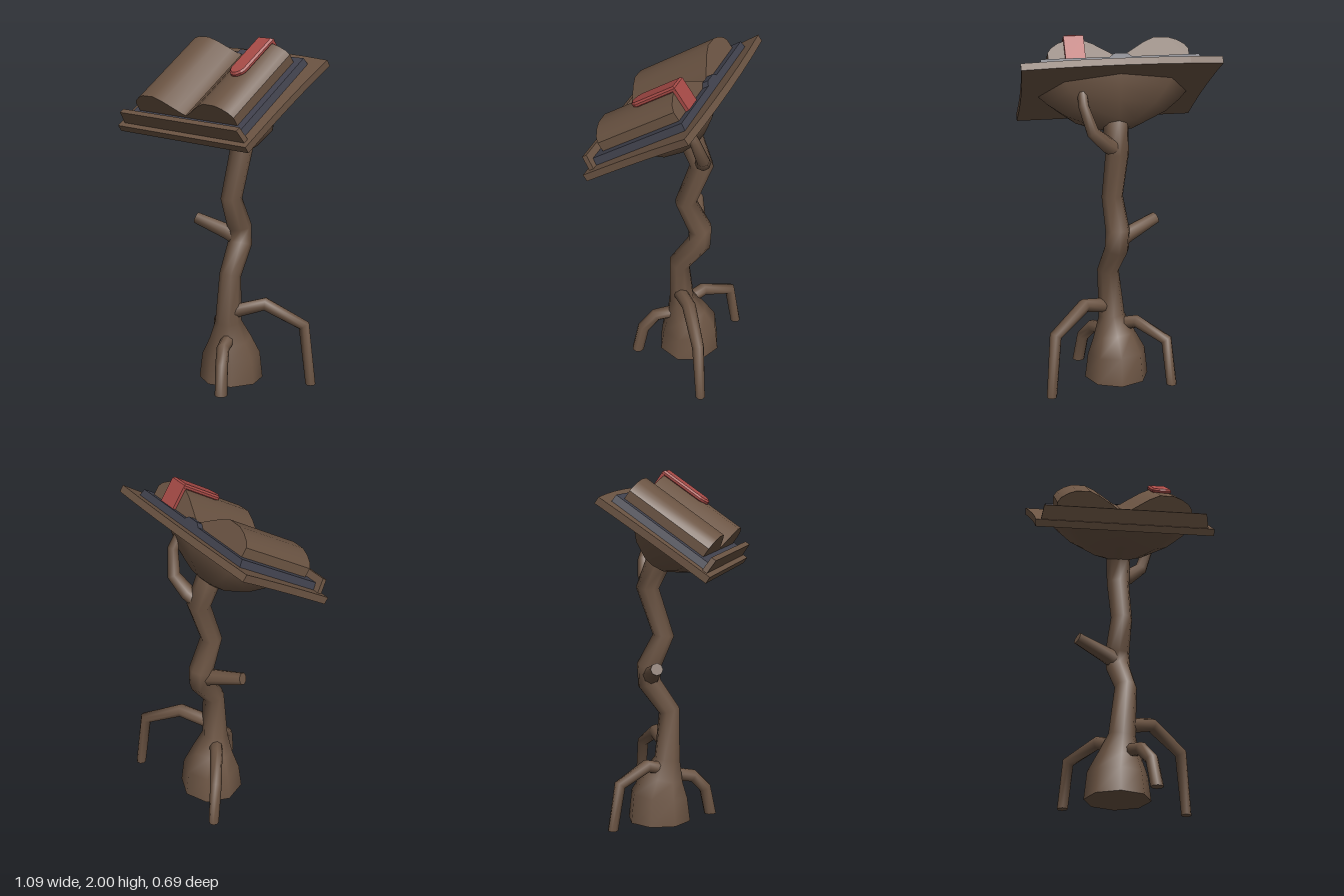
import * as THREE from 'three';
import { toCreasedNormals } from 'three/addons/utils/BufferGeometryUtils.js';

const wood = new THREE.MeshStandardMaterial({ color: 0x6b5443 });
wood.name = 'brown wood';
const coverBlue = new THREE.MeshStandardMaterial({ color: 0x41424e });
coverBlue.name = 'dark slate cover';
const ribbonRed = new THREE.MeshStandardMaterial({ color: 0xa84b47 });
ribbonRed.name = 'red ribbon';

function part(parent, name, geometry, material) {
  const mesh = new THREE.Mesh(geometry, material);
  mesh.name = name;
  parent.add(mesh);
  return mesh;
}

// Capped limb through stations [x, y, z, radius]; grounded limbs start on a level ring.
function limb(stations, grounded = false, sides = 8) {
  const pts = stations.map(([x, y, z]) => new THREE.Vector3(x, y, z));
  const last = pts.length - 1;
  const pos = [], idx = [];
  const u = new THREE.Vector3(1, 0, 0.01), v = new THREE.Vector3();
  const ring = (i) => {
    for (let k = 0; k < sides; k++) {
      const a = (k / sides) * Math.PI * 2, r = stations[i][3];
      const p = pts[i].clone().addScaledVector(u, r * Math.cos(a)).addScaledVector(v, r * Math.sin(a));
      pos.push(p.x, p.y, p.z);
    }
  };
  const cap = (i, flip) => {
    const start = pos.length / 3;
    ring(i);
    for (let k = 1; k < sides - 1; k++) {
      idx.push(start, start + (flip ? k + 1 : k), start + (flip ? k : k + 1));
    }
  };
  for (let i = 0; i <= last; i++) {
    const t = new THREE.Vector3();
    if (i > 0) t.add(pts[i].clone().sub(pts[i - 1]).normalize());
    if (i < last) t.add(pts[i + 1].clone().sub(pts[i]).normalize());
    if (i === 0 && grounded) t.set(0, 1, 0);
    t.normalize();
    u.addScaledVector(t, -u.dot(t)).normalize();
    v.crossVectors(t, u);
    if (i === 0) cap(0, true);
    const start = pos.length / 3;
    ring(i);
    if (i > 0) {
      const prev = i === 1 ? sides : start - sides;
      for (let k = 0; k < sides; k++) {
        const n = (k + 1) % sides;
        idx.push(prev + k, prev + n, start + n, prev + k, start + n, start + k);
      }
    }
    if (i === last) cap(last, false);
  }
  const g = new THREE.BufferGeometry();
  g.setAttribute('position', new THREE.Float32BufferAttribute(pos, 3));
  g.setIndex(idx);
  g.computeVertexNormals();
  return g;
}

const outline = (pts) => new THREE.Shape(pts.map(([x, y]) => new THREE.Vector2(x, y)));
const mirrored = (half) => outline([...half, ...half.filter(([x]) => x !== 0).reverse().map(([x, y]) => [-x, y])]);

// Cross-section (x, height above desk) run up the slope from v0 to v1.
function run(shape, v0, v1) {
  const g = new THREE.ExtrudeGeometry(shape, { depth: v1 - v0, bevelEnabled: false });
  return g.translate(0, 0, -v1);
}

// Outline (x, distance up the slope) lying on the desk.
function slab(shape, bottom, options) {
  const g = new THREE.ExtrudeGeometry(shape, { bevelEnabled: false, curveSegments: 6, ...options });
  return g.rotateX(-Math.PI / 2).translate(0, bottom, 0);
}

function buildDesk() {
  const desk = new THREE.Group();
  desk.name = 'readingDesk';
  desk.position.set(0, 1.45, 0.3);
  desk.rotation.x = 0.607;

  // Board with flared sides and a bowed top edge
  const s = new THREE.Shape();
  s.moveTo(-0.505, 0);
  s.lineTo(0.505, 0);
  s.quadraticCurveTo(0.505, 0.4, 0.545, 0.715);
  s.quadraticCurveTo(0, 0.765, -0.545, 0.715);
  s.quadraticCurveTo(-0.505, 0.4, -0.505, 0);
  part(desk, 'board', slab(s, 0, { depth: 0.04 }), wood);

  // Ledge that holds the book
  part(desk, 'bookLedge', run(mirrored([[0.475, 0.035], [0.46, 0.12]]), 0.029, 0.059), wood);

  // Faceted burl under the board
  const profile = [[0, -0.215], [0.09, -0.185], [0.19, -0.115], [0.25, -0.045], [0.28, 0.002]];
  const burl = part(desk, 'underBurl', new THREE.LatheGeometry(profile.map(([r, y]) => new THREE.Vector2(r, y)), 8), wood);
  burl.scale.x = 1.5;
  burl.position.z = -0.345;

  // Open book: cover with raised spine, and two arched page blocks
  part(desk, 'bookCover', run(mirrored([[0.44, 0.04], [0.43, 0.08], [0.06, 0.08], [0.035, 0.1], [0, 0.1]]), 0.63, 0.668), coverBlue);
  part(desk, 'bookCoverLower', run(mirrored([[0.44, 0.04], [0.43, 0.08]]), 0.06, 0.63), coverBlue);
  const pages = run(mirrored([
    [0.385, 0.075], [0.385, 0.132], [0.365, 0.16], [0.325, 0.186], [0.28, 0.202],
    [0.2, 0.204], [0.14, 0.178], [0.06, 0.128], [0.025, 0.105], [0, 0.095],
  ]), 0.105, 0.63);
  part(desk, 'bookPages', toCreasedNormals(pages, 0.5), wood);

  // Ribbon lying on the right-hand page and folded over its top end
  const ribbon = outline([
    [0.195, 0.64], [0.195, 0.385], [0.205, 0.365], [0.225, 0.349], [0.24, 0.346],
    [0.255, 0.349], [0.275, 0.365], [0.285, 0.385], [0.285, 0.64],
  ]);
  part(desk, 'bookmark', slab(ribbon, 0.205, {
    depth: 0.012, bevelEnabled: true, bevelSize: 0.01, bevelThickness: 0.01, bevelSegments: 1,
  }), ribbonRed);
  const fold = part(desk, 'bookmarkFold', new THREE.BoxGeometry(0.108, 0.14, 0.022), ribbonRed);
  fold.position.set(0.24, 0.148, -0.639);
  return desk;
}

export function createModel() {
  const model = new THREE.Group();
  model.name = 'treeLectern';

  // Crooked trunk on a flared foot
  part(model, 'trunk', limb([
    [0, 0, -0.085, 0.185], [0, 0.15, -0.085, 0.168], [0.01, 0.25, -0.068, 0.122], [0.02, 0.36, -0.042, 0.076],
    [0.04, 0.64, -0.037, 0.063], [0.01, 0.8, -0.145, 0.07], [0.005, 0.9, -0.148, 0.07],
    [0.02, 1.08, -0.065, 0.062], [0.01, 1.35, -0.155, 0.067], [0.005, 1.5, -0.09, 0.072], [0, 1.58, -0.06, 0.072],
  ], true), wood);

  // Root legs, each from foot to trunk
  const legs = {
    leftRootLeg: [[0.415, 0, -0.32, 0.029], [0.385, 0.355, -0.29, 0.035], [0.2, 0.472, -0.16, 0.04], [0.04, 0.415, -0.035, 0.042]],
    rightRootLeg: [[-0.285, 0, -0.28, 0.03], [-0.26, 0.26, -0.245, 0.034], [-0.11, 0.34, -0.13, 0.038], [0, 0.3, -0.05, 0.04]],
    frontRootLeg: [[0.18, 0, 0.177, 0.036], [0.157, 0.16, 0.15, 0.036], [0.108, 0.24, 0.09, 0.037], [0.05, 0.26, -0.01, 0.038]],
  };
  for (const [name, stations] of Object.entries(legs)) part(model, name, limb(stations, true), wood);

  // Cut twig and the bracing branch behind the desk
  part(model, 'twig', limb([[0, 0.84, -0.135, 0.052], [-0.06, 0.866, -0.11, 0.047], [-0.235, 0.93, -0.035, 0.035]]), wood);
  part(model, 'braceBranch', limb([
    [0.01, 1.37, -0.155, 0.045], [0.07, 1.41, -0.185, 0.044], [0.155, 1.49, -0.215, 0.037],
    [0.2, 1.63, -0.185, 0.03], [0.2, 1.7, -0.14, 0.028],
  ]), wood);

  model.add(buildDesk());
  return model;
}
